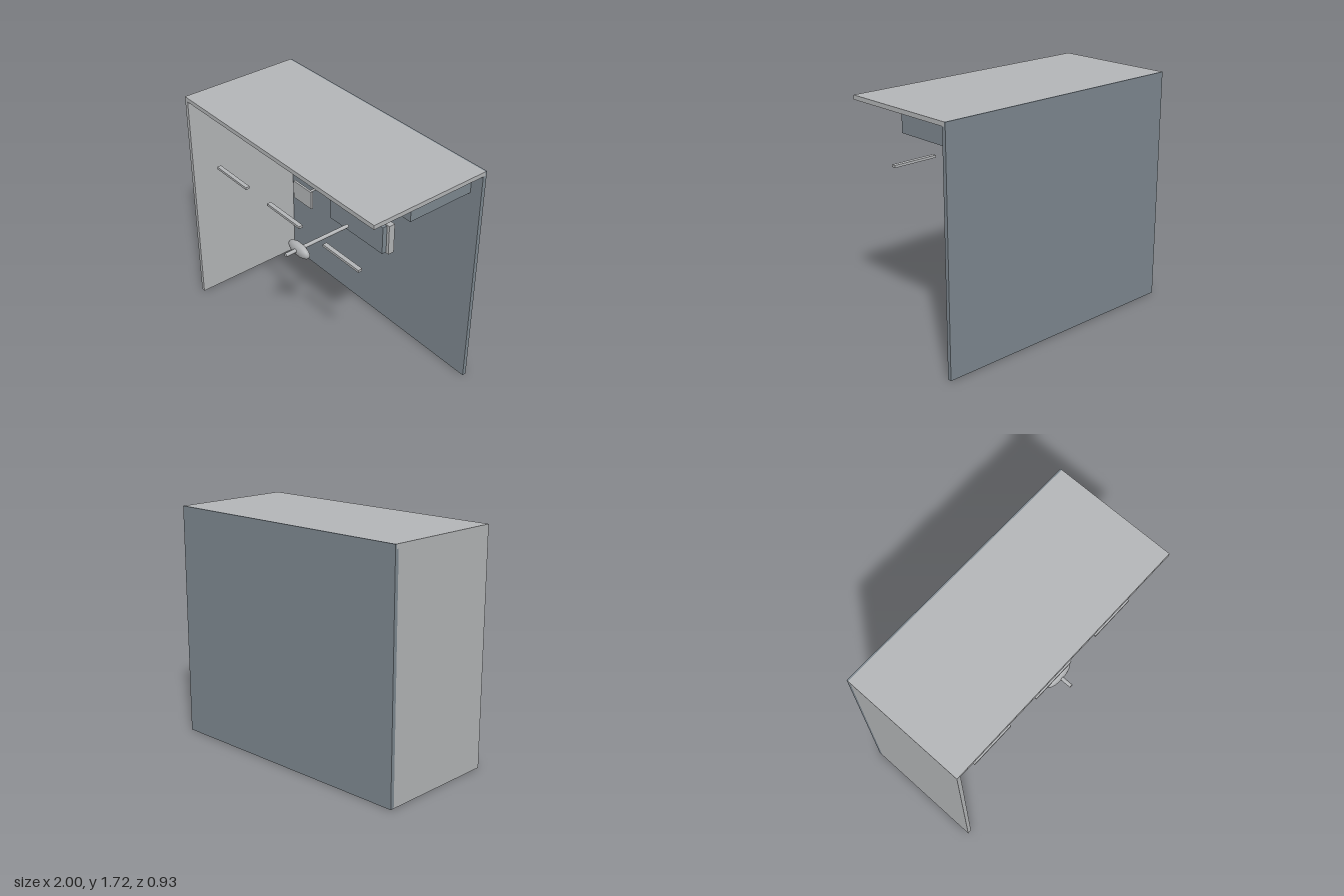
import * as THREE from 'three';

export function createModel() {
  const light = new THREE.MeshStandardMaterial({ color: 0xb4b6b8 });
  light.name = 'lightGrey';
  const slate = new THREE.MeshStandardMaterial({ color: 0x7e8890 });
  slate.name = 'slateGrey';
  const model = new THREE.Group();
  model.name = 'displayBooth';

  const add = (name, geometry, material, x, y, z) => {
    const mesh = new THREE.Mesh(geometry, material);
    mesh.name = name;
    mesh.position.set(x, y, z);
    model.add(mesh);
    return mesh;
  };
  // Box given by its extents along each axis
  const box = (name, material, [x0, x1], [y0, y1], [z0, z1]) =>
    add(name, new THREE.BoxGeometry(x1 - x0, y1 - y0, z1 - z0), material,
      (x0 + x1) / 2, (y0 + y1) / 2, (z0 + z1) / 2);
  // Round rod running along z
  const rod = (name, radius, x, y, z0, z1) => {
    const geometry = new THREE.CylinderGeometry(radius, radius, z1 - z0, 12).rotateX(Math.PI / 2);
    return add(name, geometry, light, x, y, (z0 + z1) / 2);
  };

  // Shell: back wall, one side wall, roof
  box('backWall', slate, [-1, 1], [0, 1.685], [-0.465, -0.436]);
  box('backWallLip', slate, [-1, 1], [1.685, 1.716], [-0.465, -0.454]);
  box('sideWall', light, [-1, -0.97], [0, 1.685], [-0.436, 0.465]);
  box('roof', light, [-1, 1], [1.685, 1.716], [-0.454, 0.465]);

  // Three lamp bars near the open front
  for (const x of [-0.603, -0.002, 0.6]) {
    box('lampBar', light, [x - 0.176, x + 0.176], [1.196, 1.214], [0.35, 0.382]);
  }

  // Central framed screen
  box('screenFrame', light, [-0.2, 0.422], [0.855, 1.092], [-0.25, -0.2]);
  box('screen', slate, [-0.173, 0.398], [0.864, 1.084], [-0.2, -0.163]);

  // Small panel on an arm
  box('sidePanel', light, [-0.535, -0.328], [0.874, 1.018], [-0.13, -0.113]);
  rod('sidePanelArm', 0.009, -0.432, 0.945, -0.405, -0.13);

  // Faceted knob on a long rod
  rod('knobRod', 0.014, 0.112, 0.977, -0.09, 0.452);
  const knobGeometry = new THREE.IcosahedronGeometry(1, 1).scale(0.115, 0.055, 0.034);
  add('knob', knobGeometry, light, 0.112, 0.974, 0.337);

  // Units under the roof
  box('ceilingUnit', slate, [0.577, 0.906], [1.52, 1.653], [-0.436, 0.082]);
  box('wallUnit', slate, [-0.495, -0.375], [1.525, 1.612], [-0.436, -0.37]);
  box('hangingPanel', light, [-0.84, -0.568], [1.468, 1.622], [-0.16, -0.124]);
  box('hangingPanelMount', light, [-0.787, -0.622], [1.622, 1.654], [-0.2, -0.09]);
  box('ceilingPlate', slate, [-0.88, -0.668], [1.655, 1.666], [-0.008, 0.11]);
  return model;
}
